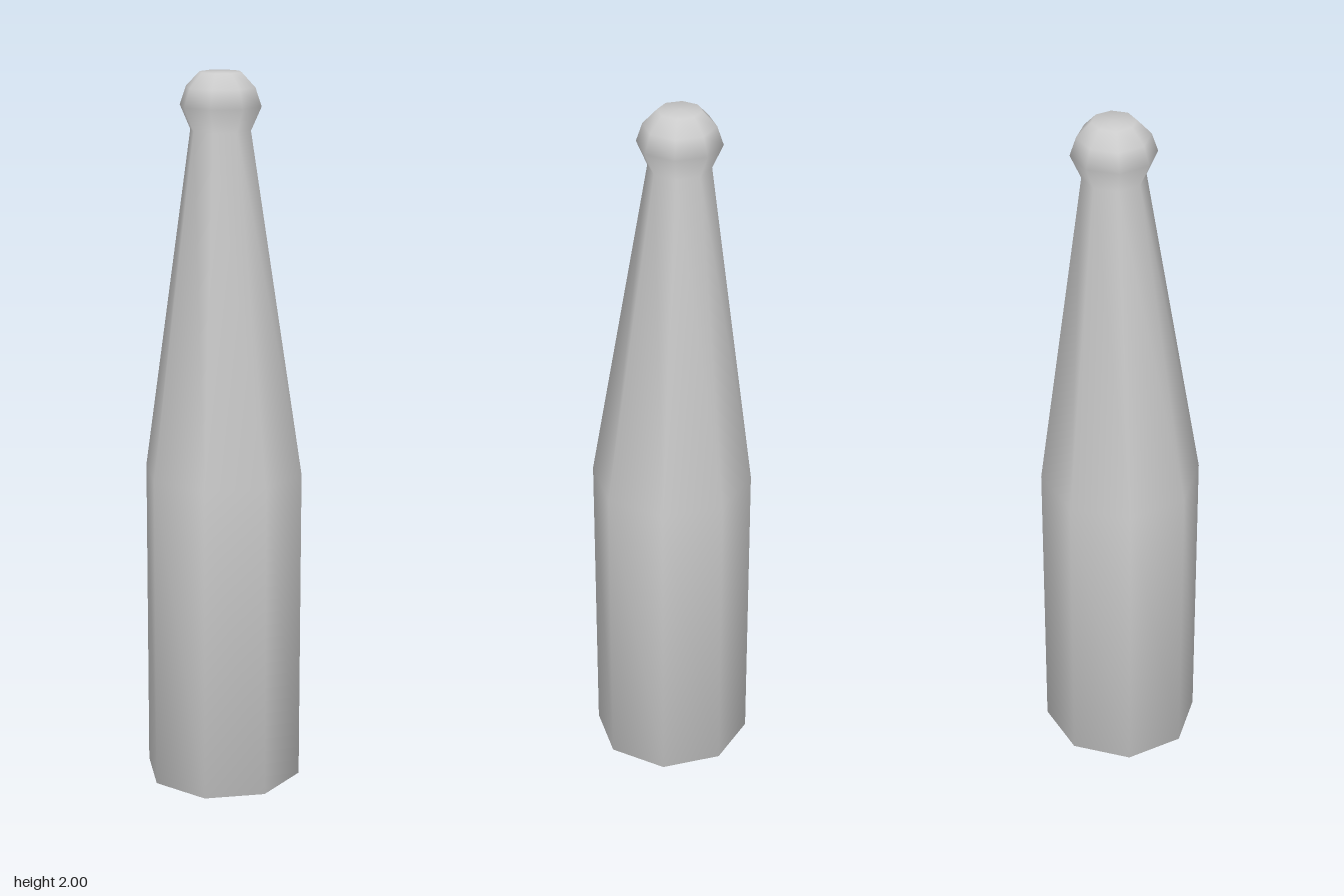
import * as THREE from 'three';

// Profile from the centre of the base up to the knob: [radius, height]
const PROFILE = [
  [0, 0], [0.223, 0], [0.223, 0.9], [0.084, 1.845],
  [0.113, 1.91], [0.096, 1.96], [0.058, 2], [0, 2],
];

export function createModel() {
  const group = new THREE.Group();
  group.name = 'bottle';

  // Eight-sided smooth body with corners on the x and z axes
  const points = PROFILE.map(([r, y]) => new THREE.Vector2(r, y));
  const geometry = new THREE.LatheGeometry(points, 8);

  const pos = geometry.attributes.position;
  for (let i = 0; i < pos.count; i++) {
    const x = pos.getX(i), y = pos.getY(i), z = pos.getZ(i);
    if (y < 0.01) {
      // Slightly tilted base
      pos.setY(i, 0.005 + 0.015 * (x - z));
    } else {
      // The tapering neck leans a little backwards
      const t = Math.min(1, Math.max(0, (y - 0.9) / 0.945));
      pos.setX(i, x + 0.004 * t);
      pos.setZ(i, z - 0.021 * t);
    }
  }

  const material = new THREE.MeshStandardMaterial({ color: 0xcccccc });
  const body = new THREE.Mesh(geometry, material);
  body.name = 'bottleBody';
  group.add(body);
  return group;
}
